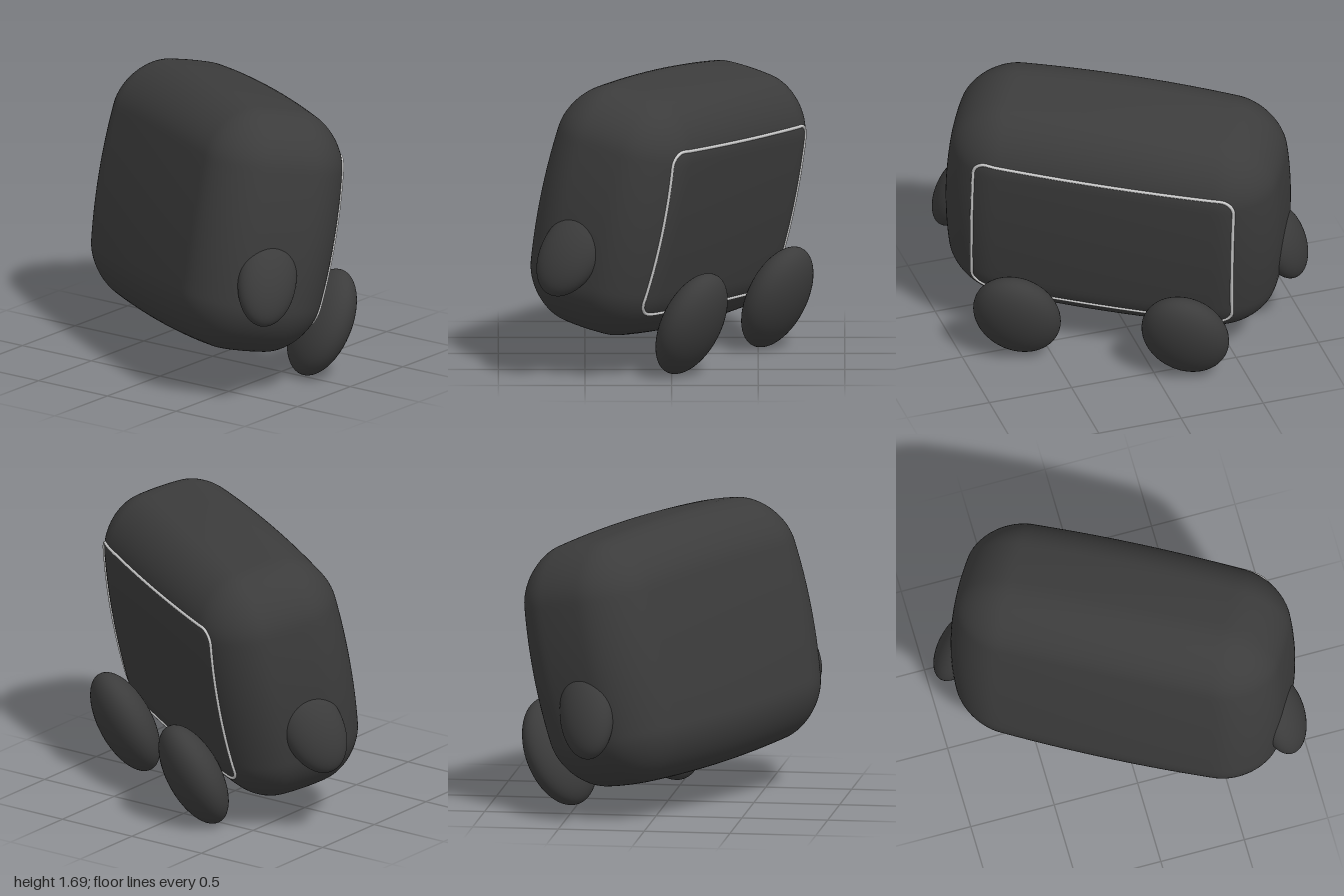
import * as THREE from 'three';
import { mergeVertices } from 'three/addons/utils/BufferGeometryUtils.js';

// Body half sizes and edge radius
const HALF = new THREE.Vector3(0.99, 0.74, 0.45);
const R = 0.3;
const INNER = HALF.clone().subScalar(R);

// How much each axis narrows away from the middle, so that every face bulges
function narrowing(p) {
  const X = (p.x / HALF.x) ** 2, Y = (p.y / HALF.y) ** 2, Z = (p.z / HALF.z) ** 2;
  return new THREE.Vector3(
    1 - 0.07 * Y - 0.04 * Z,
    1 - 0.06 * X - 0.05 * Z,
    1 - 0.05 * X - 0.08 * Y);
}

// Moves a point of the plain box onto the soft, bulging body
function bodyPoint(p) {
  const core = p.clone().clamp(INNER.clone().negate(), INNER);
  const round = p.clone().sub(core).setLength(R).add(core);
  return round.multiply(narrowing(round));
}

// Point of the body's broad front face that lies at the given x and y
function onFace(x, y) {
  const q = new THREE.Vector3(x, y, 0);
  for (let i = 0; i < 6; i++) {
    const dx = Math.max(Math.abs(q.x) - INNER.x, 0);
    const dy = Math.max(Math.abs(q.y) - INNER.y, 0);
    q.z = INNER.z + Math.sqrt(R * R - dx * dx - dy * dy);
    const k = narrowing(q);
    q.x = x / k.x;
    q.y = y / k.y;
  }
  return q.multiply(narrowing(q));
}

function roundedRect(cx, cy, w, h, r) {
  const s = new THREE.Shape();
  const x0 = cx - w, x1 = cx + w, y0 = cy - h, y1 = cy + h;
  s.moveTo(x0 + r, y0);
  s.lineTo(x1 - r, y0);
  s.absarc(x1 - r, y0 + r, r, -Math.PI / 2, 0);
  s.lineTo(x1, y1 - r);
  s.absarc(x1 - r, y1 - r, r, 0, Math.PI / 2);
  s.lineTo(x0 + r, y1);
  s.absarc(x0 + r, y1 - r, r, Math.PI / 2, Math.PI);
  s.lineTo(x0, y0 + r);
  s.absarc(x0 + r, y0 + r, r, Math.PI, Math.PI * 1.5);
  return s;
}

export function createModel() {
  const charcoal = new THREE.MeshStandardMaterial({ color: 0x3c3c3c });
  charcoal.name = 'charcoal';
  const silver = new THREE.MeshStandardMaterial({ color: 0xcccccc });
  silver.name = 'silver';

  const model = new THREE.Group();
  model.name = 'model';

  // Everything is built upright in a figure group, then turned and leaned
  const figure = new THREE.Group();
  figure.name = 'figure';
  const u = new THREE.Vector3(0.49, -0.052, -0.87).normalize();
  const n = u.clone().cross(new THREE.Vector3(0.192, 0.978, 0.06)).normalize();
  const v = n.clone().cross(u);
  figure.quaternion.setFromRotationMatrix(new THREE.Matrix4().makeBasis(u, v, n));
  figure.position.set(-0.02, 0.922, 0.045);
  model.add(figure);

  // Body: a finely divided box, rounded and bulged, with smooth normals
  let bodyGeo = new THREE.BoxGeometry(HALF.x * 2, HALF.y * 2, HALF.z * 2, 66, 50, 30);
  bodyGeo.deleteAttribute('normal');
  bodyGeo.deleteAttribute('uv');
  bodyGeo = mergeVertices(bodyGeo);
  const pos = bodyGeo.attributes.position;
  for (let i = 0; i < pos.count; i++) {
    const p = bodyPoint(new THREE.Vector3().fromBufferAttribute(pos, i));
    pos.setXYZ(i, p.x, p.y, p.z);
  }
  bodyGeo.computeVertexNormals();
  const body = new THREE.Mesh(bodyGeo, charcoal);
  body.name = 'body';
  figure.add(body);

  // Thin trim line framing the face
  const outline = roundedRect(-0.012, -0.017, 0.768, 0.495, 0.09).getSpacedPoints(160);
  outline.pop();
  const path = new THREE.CatmullRomCurve3(outline.map(q => onFace(q.x, q.y)), true);
  const trim = new THREE.Mesh(new THREE.TubeGeometry(path, 320, 0.01, 8, true), silver);
  trim.name = 'faceTrim';
  figure.add(trim);

  // Egg-shaped limbs
  const ball = new THREE.SphereGeometry(1, 48, 32);
  function limb(name, at, radii, rx, rz) {
    const m = new THREE.Mesh(ball, charcoal);
    m.name = name;
    m.position.set(...at);
    m.scale.set(...radii);
    m.rotation.set(rx, 0, rz);
    figure.add(m);
  }
  limb('rightFoot', [-0.476, -0.542, 0.56], [0.255, 0.326, 0.15], 0.227, 0.09);
  limb('leftFoot', [0.515, -0.494, 0.56], [0.255, 0.326, 0.15], 0.227, 0.09);
  for (const s of [-1, 1]) {
    limb(s < 0 ? 'rightArm' : 'leftArm', [s * 0.96, -0.235, -0.053],
      [0.118, 0.275, 0.18], 0.15, s * 0.34);
  }
  return model;
}
